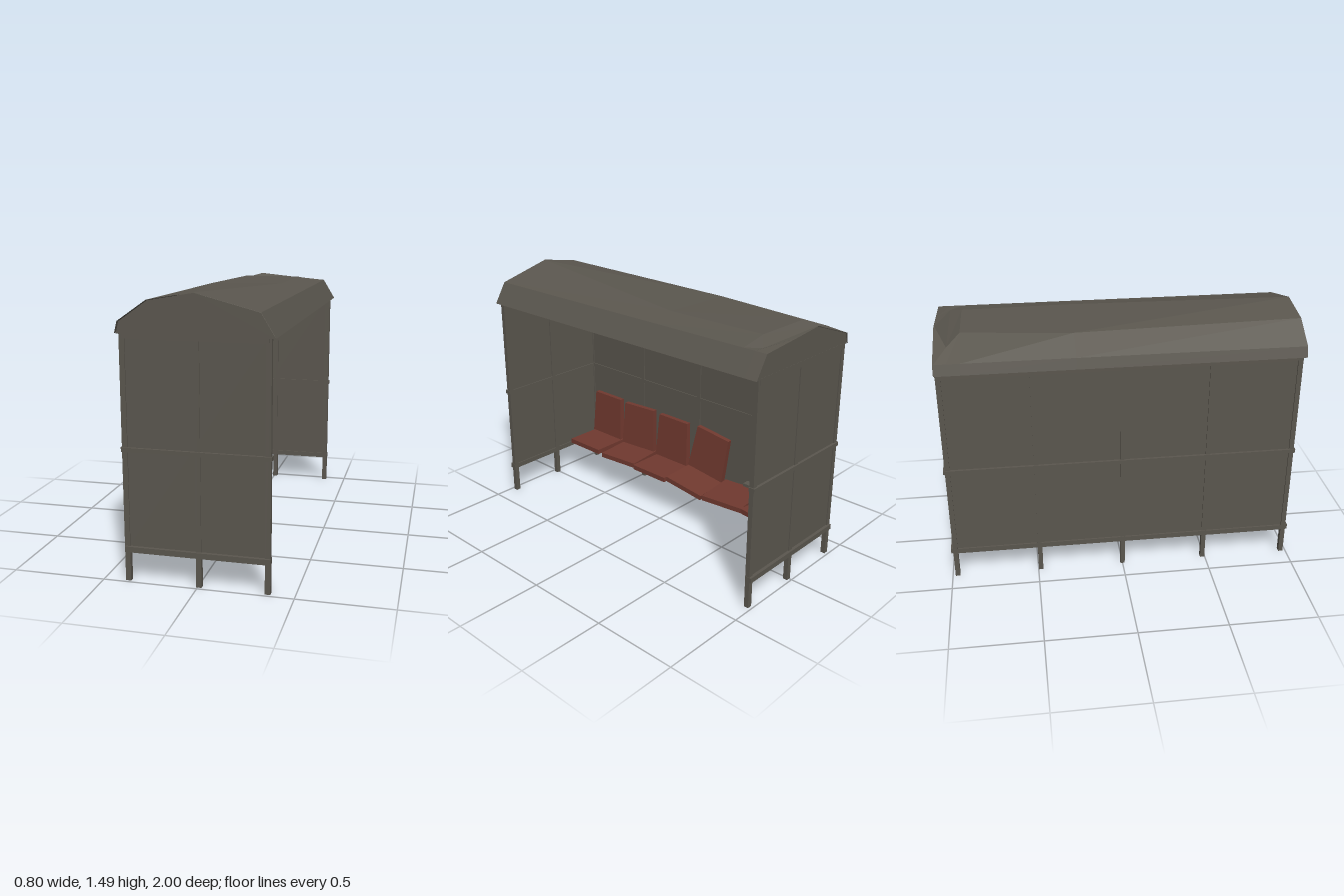
import * as THREE from 'three';
import { ConvexGeometry } from 'three/addons/geometries/ConvexGeometry.js';

export function createModel() {
  const model = new THREE.Group();
  model.name = 'busShelter';

  const grey = new THREE.MeshStandardMaterial({ color: 0x5a564e, side: THREE.DoubleSide });
  grey.name = 'weathered grey metal';
  const red = new THREE.MeshStandardMaterial({ color: 0x70392f });
  red.name = 'faded red plastic';

  const add = (name, geometry, material, parent = model) => {
    const mesh = new THREE.Mesh(geometry, material);
    mesh.name = name;
    parent.add(mesh);
    return mesh;
  };
  // Box given by its minimum and maximum on each axis
  const box = (name, x0, x1, y0, y1, z0, z1, parent = model) => {
    const mesh = add(name, new THREE.BoxGeometry(x1 - x0, y1 - y0, z1 - z0), grey, parent);
    mesh.position.set((x0 + x1) / 2, (y0 + y1) / 2, (z0 + z1) / 2);
    return mesh;
  };
  // Faceted skin stretched over sections of [z, [[x, y], ...]]
  const loft = (sections) => {
    const pos = [];
    for (let s = 0; s < sections.length - 1; s++) {
      const [za, pa] = sections[s];
      const [zb, pb] = sections[s + 1];
      for (let i = 0; i < pa.length - 1; i++) {
        const a = [...pa[i], za], b = [...pa[i + 1], za];
        const c = [...pb[i + 1], zb], d = [...pb[i], zb];
        pos.push(...a, ...b, ...d, ...b, ...c, ...d);
      }
    }
    const g = new THREE.BufferGeometry();
    g.setAttribute('position', new THREE.Float32BufferAttribute(pos, 3));
    g.computeVertexNormals();
    return g;
  };

  // End walls: panel, three posts and three rails each
  for (const side of [1, -1]) {
    const end = new THREE.Group();
    end.name = side > 0 ? 'frontEndWall' : 'rearEndWall';
    model.add(end);
    const span = (a, b) => (side > 0 ? [a, b] : [-b, -a]);
    box('endPanel', -0.37, 0.36, 0.17, 1.285, ...span(0.964, 0.978), end);
    for (const x of [-0.37, 0.007, 0.362]) {
      box('post', x - 0.014, x + 0.014, 0, 1.285, ...span(0.957, 0.984), end);
    }
    box('bottomRail', -0.38, 0.378, 0.16, 0.19, ...span(0.957, 0.996), end);
    box('middleRail', -0.385, 0.382, 0.69, 0.712, ...span(0.957, 0.993), end);
    box('topRail', -0.37, 0.365, 1.258, 1.29, ...span(0.957, 0.986), end);
  }

  // Back wall
  box('backPanel', -0.376, -0.362, 0.17, 1.285, -0.97, 0.97);
  for (const z of [-0.485, 0, 0.485]) {
    box('backPost', -0.383, -0.356, 0, 1.285, z - 0.013, z + 0.013);
  }
  box('backBottomRail', -0.385, -0.355, 0.16, 0.19, -0.985, 0.985);
  box('backMiddleRail', -0.39, -0.356, 0.69, 0.712, -0.985, 0.985);
  box('backTopRail', -0.383, -0.357, 1.258, 1.29, -0.985, 0.985);

  // Roof sections: the ridge sinks towards the rear and ends in a dent
  const section = (l, ly, r, ry) => [
    [-0.4, 1.285], [-0.385, 1.345], [l, ly], [r, ry], [0.327, 1.405], [0.4, 1.285],
  ];
  const roof = [
    [1, section(-0.235, 1.45, 0, 1.49)],
    [-0.25, section(-0.25, 1.432, 0.18, 1.437)],
    [-0.85, section(-0.18, 1.435, 0.17, 1.435)],
    [-0.92, section(-0.28, 1.395, 0.26, 1.403)],
    [-0.985, section(-0.1, 1.445, 0.1, 1.425)],
    [-0.99, section(-0.1, 1.445, 0.1, 1.425)],
  ];
  add('roofSkin', loft(roof), grey);

  // Gable ends, set just inside the roof edge
  for (const [name, z, outline] of [['frontGable', 0.988, roof[0][1]], ['rearGable', -0.985, roof[5][1]]]) {
    const shape = new THREE.Shape(outline.map(([x, y]) => new THREE.Vector2(x * 0.99, y - 0.003)));
    add(name, new THREE.ShapeGeometry(shape), grey).position.z = z;
  }

  // Ceiling lining, sloping down to the end walls
  const lower = (outline, drop) => outline.map(([x, y]) => [x * 0.98, Math.max(1.286, y - drop)]);
  add('ceiling', loft([
    [0.957, lower(roof[0][1], 1)],
    [0.82, lower(roof[0][1], 0.02)],
    [-0.25, lower(roof[1][1], 0.012)],
    [-0.83, lower(roof[3][1], 0.012)],
    [-0.957, lower(roof[4][1], 1)],
  ]), grey);

  // Seats: thin pad with a pointed underside, and a tapered backrest
  const V = (x, y, z) => new THREE.Vector3(x, y, z);
  const pad = [V(-0.03, -0.056, 0.045)];
  const back = [];
  for (const s of [-1, 1]) {
    pad.push(V(-0.135, 0, s * 0.133), V(0.13, 0, s * 0.135), V(-0.135, -0.03, s * 0.133), V(0.13, -0.03, s * 0.135));
    back.push(V(-0.08, 0.006, s * 0.132), V(-0.115, 0.006, s * 0.132), V(-0.1, 0.287, s * 0.119), V(-0.13, 0.287, s * 0.119));
  }
  const padGeometry = new ConvexGeometry(pad);
  const backGeometry = new ConvexGeometry(back);
  // z position, yaw, roll, has backrest
  const seats = [
    [0.74, 0, 0, true],
    [0.435, 0.1, 0, true],
    [0.145, 0, 0, true],
    [-0.143, 0.05, -0.16, true],
    [-0.43, 0.12, 0, false],
    [-0.725, -0.12, 0, true],
  ];
  for (const [z, yaw, roll, hasBack] of seats) {
    const seat = new THREE.Group();
    seat.name = 'seat';
    seat.position.set(-0.18, 0.261, z);
    seat.rotation.set(roll, yaw, 0);
    add('seatPad', padGeometry, red, seat);
    if (hasBack) add('backrest', backGeometry, red, seat);
    model.add(seat);
    box('seatBracket', -0.345, -0.3, 0.18, 0.28, z - 0.07, z + 0.015);
  }

  // Rail carrying the seats
  box('seatRail', -0.18, -0.16, 0.17, 0.184, -0.96, 0.96);

  return model;
}
